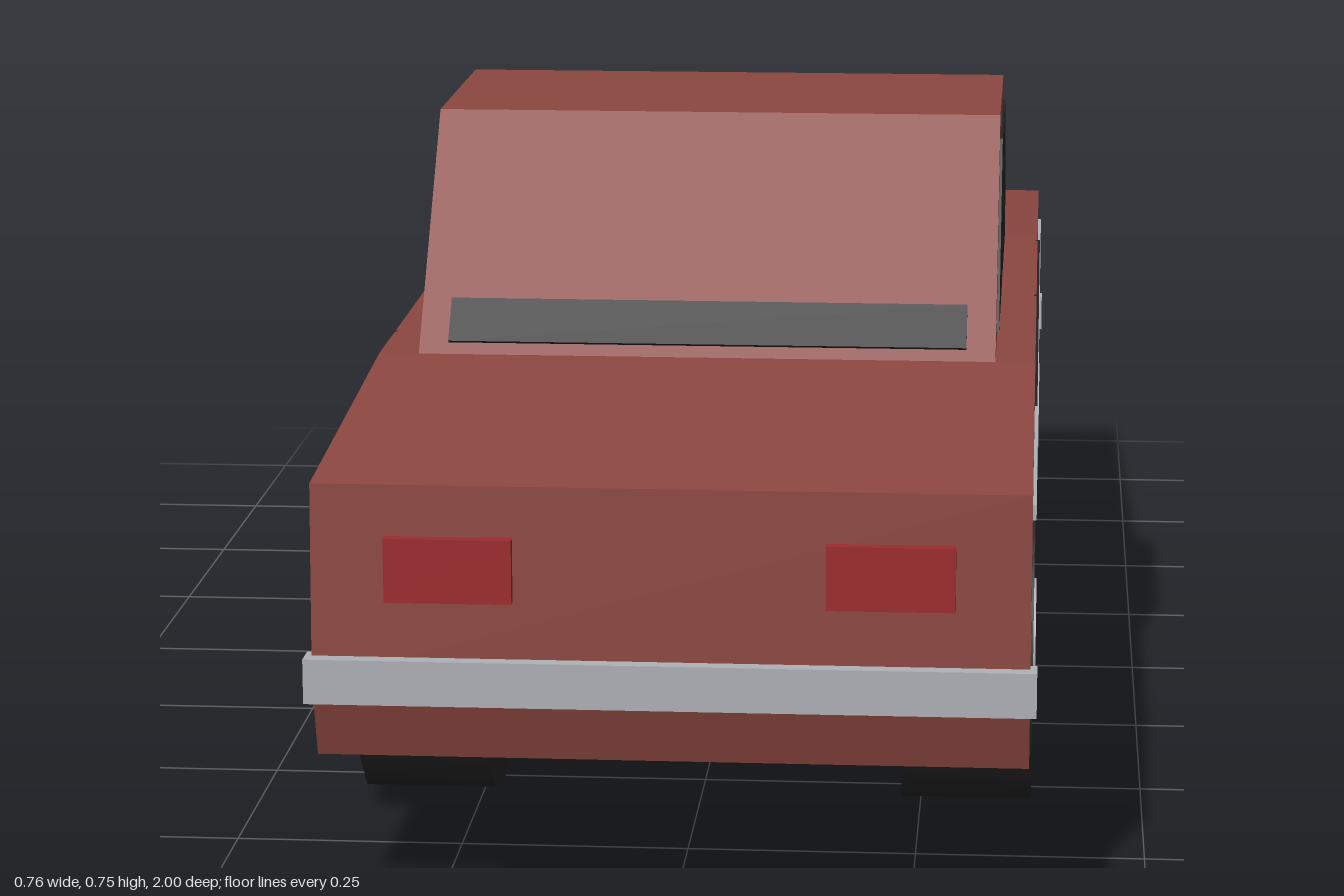
import * as THREE from 'three';

const mat = (name, color) => {
  const m = new THREE.MeshStandardMaterial({ color });
  m.name = name;
  return m;
};

export function createModel() {
  const car = new THREE.Group();
  car.name = 'sedan';
  const paint = mat('brick red paint', 0x8c4741);
  const black = mat('black rubber and glass', 0x242424);
  const chrome = mat('chrome grey', 0xaeb1b6);
  const red = mat('tail light red', 0x9c2c2f);
  const cream = mat('headlight cream', 0xc8b88c);

  function add(name, geometry, material, x = 0, y = 0, z = 0) {
    const mesh = new THREE.Mesh(geometry, material);
    mesh.name = name;
    mesh.position.set(x, y, z);
    car.add(mesh);
    return mesh;
  }
  const box = (name, w, h, d, material, x, y, z) =>
    add(name, new THREE.BoxGeometry(w, h, d), material, x, y, z);

  // Side profile given as [z, y] points, extruded across the width and centred on x
  function profile(points, width) {
    const shape = new THREE.Shape(points.map(([z, y]) => new THREE.Vector2(z, y)));
    return new THREE.ExtrudeGeometry(shape, { depth: width, bevelEnabled: false })
      .rotateY(-Math.PI / 2)
      .translate(width / 2, 0, 0);
  }

  // Lower body and cabin
  add('body', profile([
    [0.957, 0.167], [0.985, 0.255], [0.975, 0.464], [0.49, 0.498],
    [-0.305, 0.498], [-0.973, 0.44], [-0.985, 0.255], [-0.957, 0.167],
  ], 0.746), paint);
  add('cabin', profile([
    [0.488, 0.49], [0.488, 0.498], [0.28, 0.747], [-0.04, 0.747], [-0.315, 0.498], [-0.315, 0.49],
  ], 0.656), paint);

  // Dark strips lying on the two sloping cabin ends
  function strip(name, [z0, y0], [z1, y1]) {
    const mesh = box(name, 0.59, 0.006, Math.hypot(z1 - z0, y1 - y0), black,
      0, (y0 + y1) / 2, (z0 + z1) / 2);
    mesh.rotation.x = -Math.atan2(y1 - y0, z1 - z0);
  }
  strip('tailWindowStrip', [0.443, 0.553], [0.479, 0.51]);
  strip('noseWindowStrip', [-0.302, 0.511], [-0.238, 0.569]);

  // Side windows, door seams, trim and wheels
  const windows = {
    tailSideWindow: [[0.413, 0.517], [0.265, 0.717], [0.115, 0.717], [0.115, 0.517]],
    noseSideWindow: [[0.083, 0.517], [0.083, 0.717], [-0.03, 0.717], [-0.245, 0.517]],
  };
  for (const side of [-1, 1]) {
    for (const [name, points] of Object.entries(windows)) {
      add(name, profile(points, 0.006), black, side * 0.328);
    }
    for (const [z, w] of [[0.365, 0.006], [0.1, 0.01], [-0.263, 0.006]]) {
      box('doorSeam', 0.006, 0.29, w, black, side * 0.373, 0.353, z);
    }
    box('sideTrim', 0.008, 0.016, 1.69, chrome, side * 0.373, 0.413, 0);

    for (const z of [0.53, -0.623]) {
      add('tyre', new THREE.CylinderGeometry(0.176, 0.176, 0.145, 12).rotateZ(Math.PI / 2),
        black, side * 0.303, 0.178, z);
      add('hubcap', new THREE.CylinderGeometry(0.074, 0.074, 0.01, 12).rotateZ(Math.PI / 2),
        chrome, side * 0.373, 0.184, z);
    }
    box('tailLight', 0.133, 0.068, 0.02, red, side * 0.229, 0.376, 0.98);

    // Paired round headlights
    for (const x of [0.288, 0.194]) {
      add('headlight', new THREE.CylinderGeometry(0.045, 0.045, 0.02, 14).rotateX(Math.PI / 2),
        cream, side * x, 0.37, -0.983);
    }
  }
  box('grille', 0.46, 0.09, 0.016, black, 0, 0.372, -0.98);

  // Bumpers at both ends
  for (const end of [-1, 1]) {
    box('bumper', 0.76, 0.048, 0.03, chrome, 0, 0.258, end * 0.985);
  }
  return car;
}
